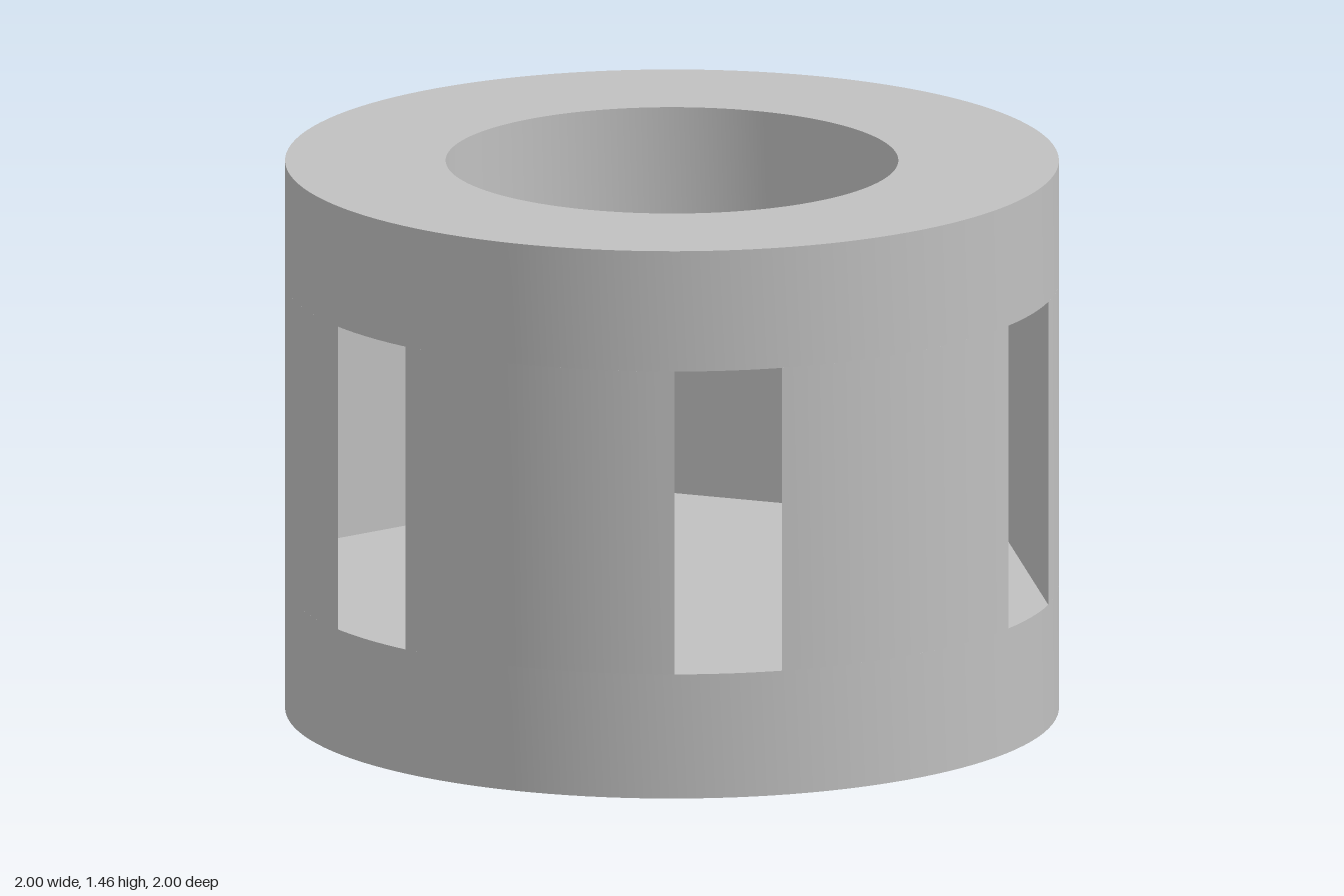
import * as THREE from 'three';
import { toCreasedNormals } from 'three/addons/utils/BufferGeometryUtils.js';

const RADIUS = 1;
const HOLE_RADIUS = 0.585;
const FLOOR_TOP = 0.33;
const LID_BOTTOM = 1.135;
const HEIGHT = 1.455;
const HALF_ARC = THREE.MathUtils.degToRad(21.95); // half the angle covered by one column

// Upright prism from a plan outline, smooth around the curve and sharp at the rims
function prism(shape, bottom, top, curveSegments) {
  const geometry = new THREE.ExtrudeGeometry(shape, {
    depth: top - bottom, bevelEnabled: false, curveSegments,
  });
  geometry.rotateX(-Math.PI / 2);
  geometry.translate(0, bottom, 0);
  return toCreasedNormals(geometry, 0.2);
}

function disc(radius) {
  return new THREE.Shape().absarc(0, 0, radius, 0, Math.PI * 2, false);
}

export function createModel() {
  const group = new THREE.Group();
  group.name = 'slottedHousing';
  const grey = new THREE.MeshStandardMaterial({ color: 0xc0c0c0 });
  grey.name = 'plain grey';

  const add = (name, geometry) => {
    const mesh = new THREE.Mesh(geometry, grey);
    mesh.name = name;
    group.add(mesh);
    return mesh;
  };

  // Solid base
  add('base', prism(disc(RADIUS), 0, FLOOR_TOP, 64));

  // Top ring with the round opening
  const ring = disc(RADIUS);
  ring.holes.push(new THREE.Path().absarc(0, 0, HOLE_RADIUS, 0, Math.PI * 2, true));
  add('topRing', prism(ring, LID_BOTTOM, HEIGHT, 64));

  // Six columns: round outside, flat inside, enclosing a hexagonal chamber
  // whose corners break through the wall as windows
  const segment = new THREE.Shape().absarc(0, 0, RADIUS, -HALF_ARC, HALF_ARC, false);
  segment.closePath();
  const columnGeometry = prism(segment, FLOOR_TOP, LID_BOTTOM, 8);
  for (let i = 0; i < 6; i++) {
    add('column' + (i + 1), columnGeometry).rotation.y = Math.PI / 6 + (i * Math.PI) / 3;
  }

  return group;
}
